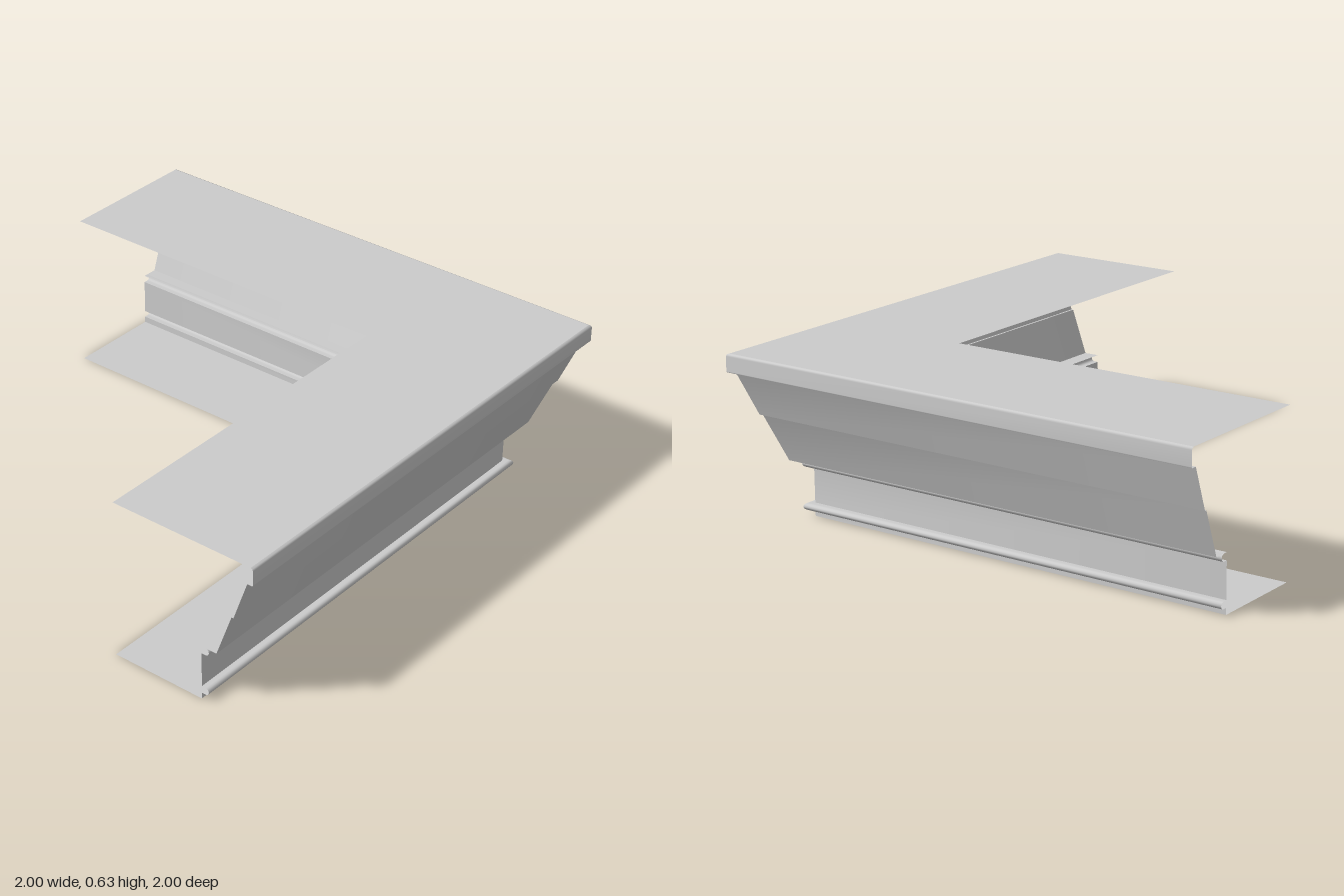
import * as THREE from 'three';

// Sweep a profile of [offset, height] points along the mitred L-shaped corner.
function sweep(name, profile, material) {
  const positions = [], index = [], n = profile.length;
  const sections = [
    (d, y) => [-1, y, d], // end of the front run
    (d, y) => [d, y, d],  // mitre
    (d, y) => [d, y, -1], // end of the side run
  ];
  for (const place of sections) {
    for (const [d, y] of profile) positions.push(...place(d, y));
  }
  for (let s = 0; s < 2; s++) {
    for (let p = 0; p < n - 1; p++) {
      const a = s * n + p, b = a + n;
      index.push(a, b, b + 1, a, b + 1, a + 1);
    }
  }
  const geometry = new THREE.BufferGeometry();
  geometry.setAttribute('position', new THREE.Float32BufferAttribute(positions, 3));
  geometry.setIndex(index);
  geometry.computeVertexNormals();
  const mesh = new THREE.Mesh(geometry, material);
  mesh.name = name;
  return mesh;
}

// Rounded bead profile bulging from offset d between heights y0 and y1.
function bead(d, reach, y0, y1) {
  const r = (y1 - y0) / 2, points = [[d, y0]];
  for (let i = 0; i <= 6; i++) {
    const a = -Math.PI / 2 + (i / 6) * Math.PI;
    points.push([reach - r + r * Math.cos(a), y0 + r + r * Math.sin(a)]);
  }
  points.push([d, y1]);
  return points;
}

export function createModel() {
  const group = new THREE.Group();
  group.name = 'corniceCorner';
  const material = new THREE.MeshStandardMaterial({ color: 0xcccccc, side: THREE.DoubleSide });

  // Each piece is smooth within itself and creased against its neighbours
  const pieces = [
    ['bottomPlate', [[0.405, 0], [0.787, 0]]],
    ['baseFillet', [[0.787, 0], [0.787, 0.025]]],
    ['lowerBead', bead(0.787, 0.818, 0.025, 0.052)],
    ['frieze', [[0.787, 0.052], [0.787, 0.19]]],
    ['upperBead', bead(0.787, 0.818, 0.19, 0.219)],
    ['crownSoffit', [[0.787, 0.219], [0.85, 0.219]]],
    ['lowerCrown', [[0.85, 0.219], [0.913, 0.397]]],
    ['crownStep', [[0.913, 0.397], [0.921, 0.397]]],
    ['upperCrown', [[0.921, 0.397], [0.977, 0.56]]],
    ['lipSoffit', [[0.977, 0.56], [0.998, 0.56]]],
    ['lip', [[0.998, 0.56], [1, 0.564], [1, 0.62], [0.997, 0.627], [0.99, 0.63]]],
    ['topPlate', [[0.99, 0.63], [0.405, 0.63]]],
  ];
  for (const [name, profile] of pieces) group.add(sweep(name, profile, material));
  return group;
}
